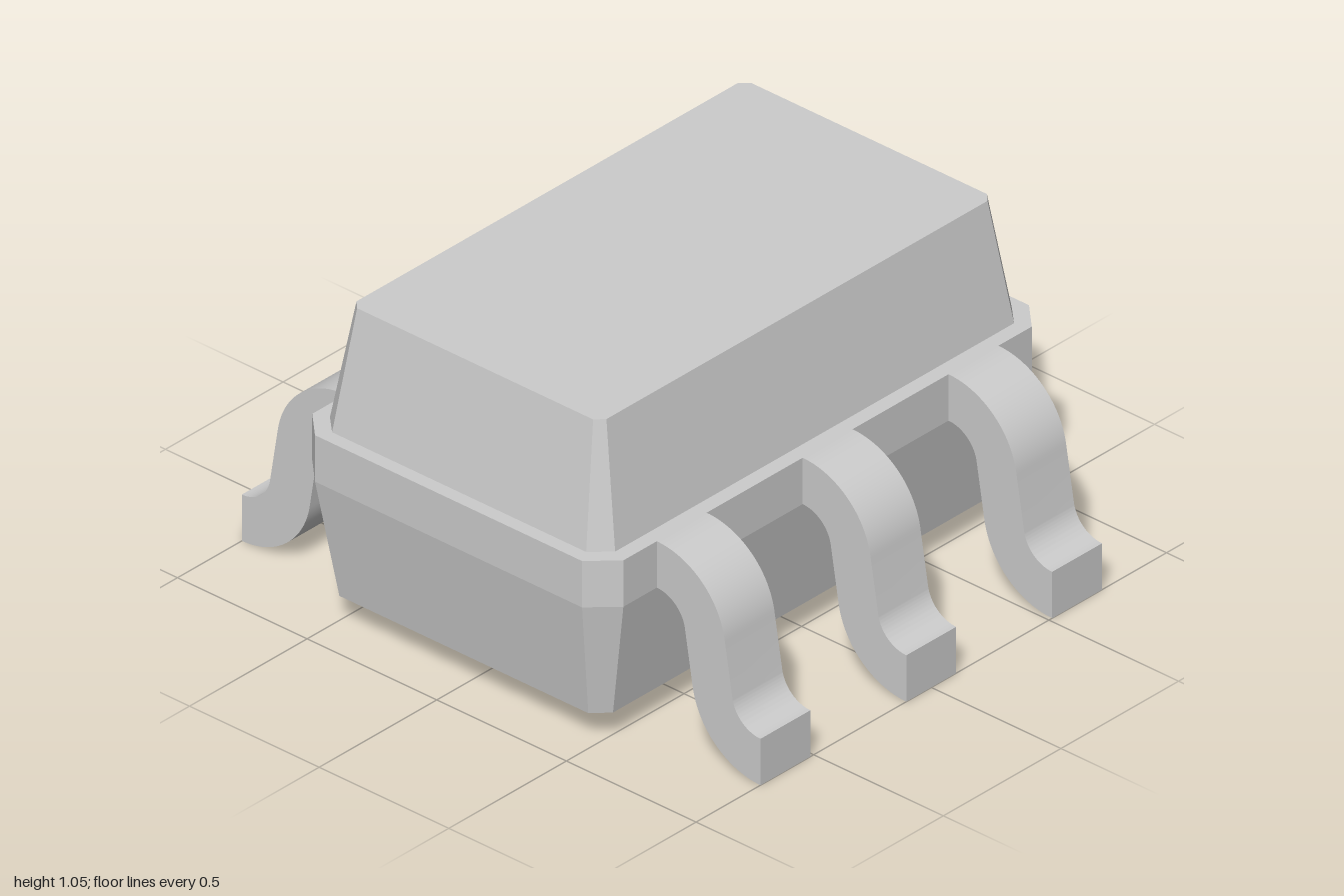
import * as THREE from 'three';
import { toCreasedNormals } from 'three/addons/utils/BufferGeometryUtils.js';

const material = new THREE.MeshStandardMaterial({ color: 0xcccccc });

// Rectangle with cut corners: half extents hx, hz; flat edges reach fx, fz
function ring([y, hx, hz, fx, fz]) {
  return [
    [hx, fz], [hx, -fz], [fx, -hz], [-fx, -hz],
    [-hx, -fz], [-hx, fz], [-fx, hz], [fx, hz],
  ].map(([x, z]) => [x, y, z]);
}

// Skin a stack of rings from bottom to top and cap both ends
function loft(sections) {
  const rings = sections.map(ring);
  const pos = [];
  const tri = (...corners) => corners.forEach((p) => pos.push(...p));
  const n = rings[0].length;
  for (let r = 0; r < rings.length - 1; r++) {
    for (let i = 0; i < n; i++) {
      const j = (i + 1) % n;
      const [a, b, c, d] = [rings[r][i], rings[r][j], rings[r + 1][j], rings[r + 1][i]];
      tri(a, b, c);
      tri(a, c, d);
    }
  }
  const bottom = rings[0];
  const top = rings[rings.length - 1];
  for (let i = 1; i < n - 1; i++) {
    tri(bottom[0], bottom[i + 1], bottom[i]);
    tri(top[0], top[i], top[i + 1]);
  }
  const geometry = new THREE.BufferGeometry();
  geometry.setAttribute('position', new THREE.Float32BufferAttribute(pos, 3));
  geometry.computeVertexNormals();
  return geometry;
}

// Gull-wing lead: two opposed bends joined by a slanted shank
function leadGeometry(width) {
  const R = 0.265, r = 0.11, tilt = THREE.MathUtils.degToRad(8);
  const up = [0.6, 0.387], low = [1, 0.265];
  const shape = new THREE.Shape();
  shape.moveTo(up[0], up[1] + R);
  shape.absarc(...up, R, Math.PI / 2, tilt, true);
  shape.absarc(...low, r, Math.PI + tilt, Math.PI * 1.5, false);
  shape.lineTo(1, 0);
  shape.absarc(...low, R, Math.PI * 1.5, Math.PI + tilt, true);
  shape.absarc(...up, r, tilt, Math.PI / 2, false);
  shape.closePath();
  const geometry = new THREE.ExtrudeGeometry(shape, { depth: width, bevelEnabled: false, curveSegments: 16 });
  geometry.translate(0, 0, -width / 2);
  return toCreasedNormals(geometry, Math.PI / 6);
}

export function createModel() {
  const model = new THREE.Group();
  model.name = 'chipPackage';

  // Moulded body: tapered base, straight band, ledge, tapered upper half
  const body = new THREE.Mesh(loft([
    [0.1, 0.53, 0.885, 0.48, 0.835],
    [0.497, 0.6, 0.95, 0.515, 0.868],
    [0.652, 0.6, 0.95, 0.515, 0.868],
    [0.652, 0.55, 0.905, 0.49, 0.848],
    [1.05, 0.482, 0.837, 0.455, 0.81],
  ]), material);
  body.name = 'body';
  model.add(body);

  // Three leads on each long side
  const lead = leadGeometry(0.212);
  for (const [side, turn] of [['left', 0], ['right', Math.PI]]) {
    const row = new THREE.Group();
    row.name = side + 'Leads';
    row.rotation.y = turn;
    for (const z of [-0.62, 0, 0.62]) {
      const mesh = new THREE.Mesh(lead, material);
      mesh.name = 'lead';
      mesh.position.z = z;
      row.add(mesh);
    }
    model.add(row);
  }
  return model;
}
